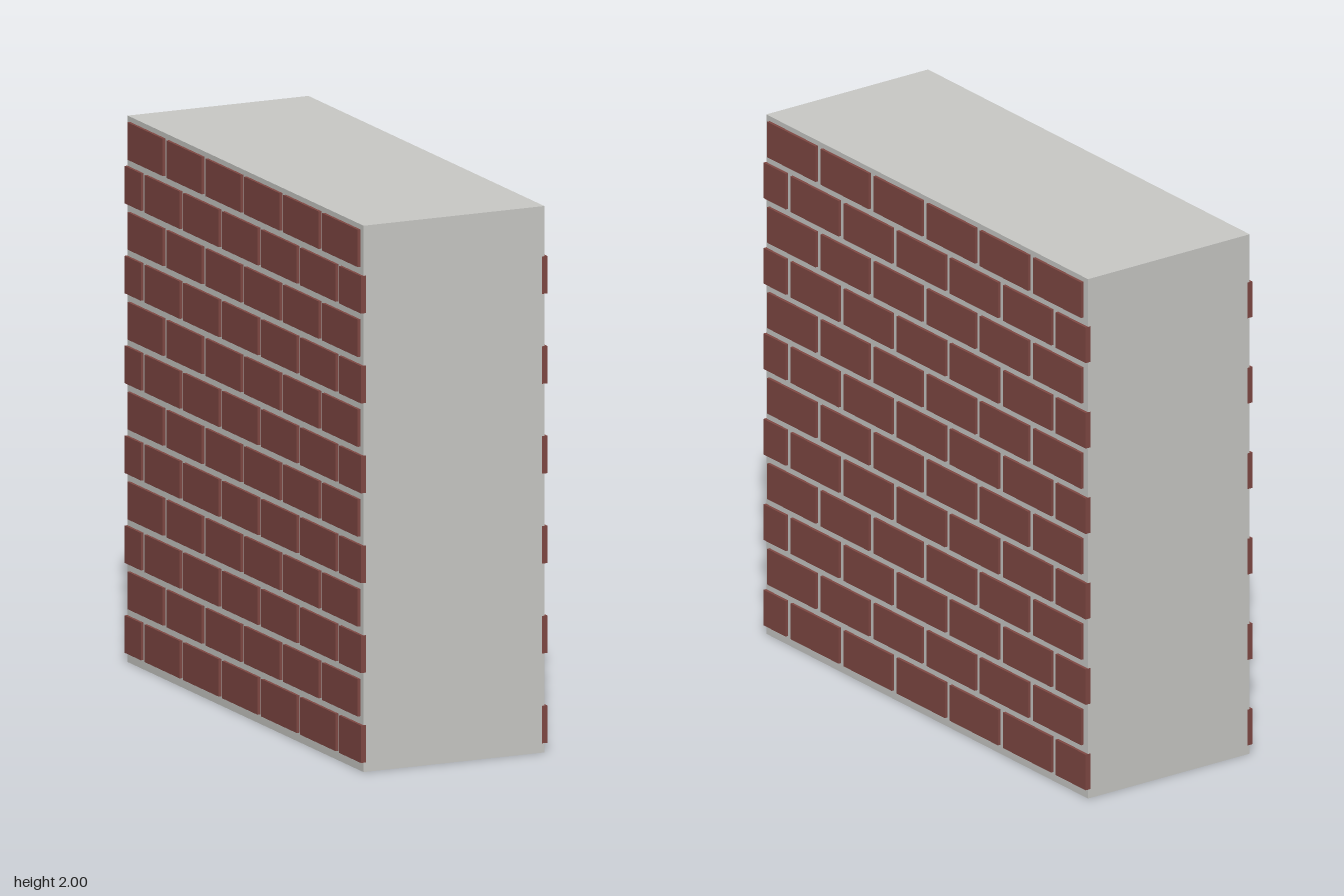
import * as THREE from 'three';

const CORE_X = 0.358, FACE_X = 0.369, HALF_Z = 0.967;
const ROWS = 12, ROW_PITCH = 0.1645, BRICK_H = 0.137, FIRST_Y = 0.103;
const PITCH = 0.3195, BRICK_L = 0.29;

export function createModel() {
  const mortar = new THREE.MeshStandardMaterial({ color: 0xc9c9c6 });
  mortar.name = 'paleMortar';
  const red = new THREE.MeshStandardMaterial({ color: 0x804843 });
  red.name = 'redBrick';

  const group = new THREE.Group();
  group.name = 'brickWall';

  // solid mortar block
  const core = new THREE.Mesh(new THREE.BoxGeometry(CORE_X * 2, 2, HALF_Z * 2), mortar);
  core.name = 'mortarCore';
  core.position.y = 1;
  group.add(core);

  // one face of bricks, running bond, slightly proud of the mortar
  function brickFace(name) {
    const face = new THREE.Group();
    face.name = name;
    const depth = FACE_X - CORE_X + 0.01;
    const addBrick = (z0, z1, y) => {
      const brick = new THREE.Mesh(new THREE.BoxGeometry(depth, BRICK_H, z1 - z0), red);
      brick.name = 'brick';
      brick.position.set(FACE_X - depth / 2, y, (z0 + z1) / 2);
      face.add(brick);
    };
    for (let row = 0; row < ROWS; row++) {
      const y = FIRST_Y + row * ROW_PITCH;
      const cutRow = row % 2 === 0;
      const start = cutRow ? 0.663 : 0.802;
      for (let i = 0; i < (cutRow ? 5 : 6); i++) {
        const z = start - i * PITCH;
        addBrick(z - BRICK_L / 2, z + BRICK_L / 2, y);
      }
      // cut bricks that finish the row at both ends
      if (cutRow) {
        addBrick(0.836, 0.969, y);
        addBrick(-0.968, -0.788, y);
      }
    }
    return face;
  }

  const left = brickFace('leftBricks');
  const right = brickFace('rightBricks');
  right.rotation.y = Math.PI;
  group.add(left, right);
  return group;
}
